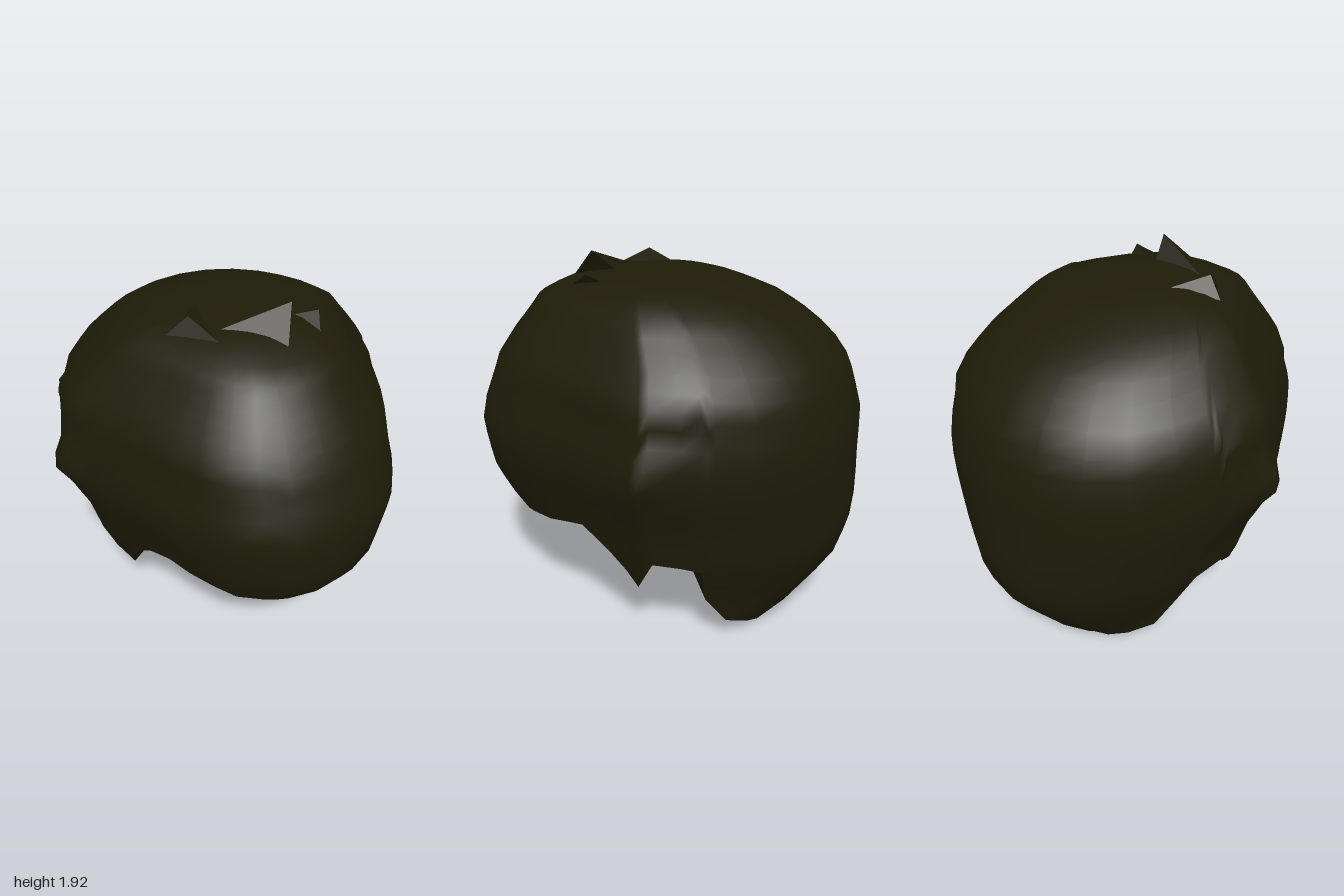
import * as THREE from 'three';
import { mergeVertices } from 'three/addons/utils/BufferGeometryUtils.js';

// Horizontal sections: y, half width, front z, back z, z of the widest point
const SECTIONS = [
  [0, 0.4, -0.1, -0.6, -0.42], [0.14, 0.54, 0.2, -0.75, -0.25],
  [0.3, 0.61, 0.45, -0.87, -0.08], [0.36, 0.64, 0.55, -0.93, -0.05],
  [0.53, 0.72, 0.76, -0.98, -0.08], [0.61, 0.74, 0.86, -1, -0.08],
  [0.78, 0.785, 0.965, -1, -0.08], [0.9, 0.84, 0.98, -0.995, -0.08],
  [1.0, 0.875, 0.99, -0.99, -0.08], [1.1, 0.88, 1, -0.99, -0.08],
  [1.2, 0.87, 0.96, -0.985, -0.09], [1.3, 0.84, 0.92, -0.955, -0.1],
  [1.39, 0.855, 0.885, -0.93, -0.1], [1.53, 0.74, 0.79, -0.83, -0.08],
  [1.64, 0.635, 0.7, -0.69, -0.03], [1.71, 0.57, 0.65, -0.57, 0],
  [1.78, 0.45, 0.49, -0.38, 0.04], [1.82, 0.29, 0.36, -0.25, 0.05],
  [1.84, 0, 0.05, 0.05, 0.05],
];

// Lower edge: degrees from the front, height
const HEM = [
  [0, 0.54], [12, 0.56], [22, 0.6], [32, 0.58], [42, 0.61], [52, 0.62], [60, 0.65],
  [68, 0.68], [75, 0.57], [80, 0.46], [84, 0.355], [88, 0.47], [91, 0.58], [100, 0.56],
  [106, 0.53], [108, 0.3], [110, 0.14], [122, 0.075], [136, 0.02], [150, 0.015],
  [165, 0.01], [180, 0],
];
const ROWS = 20;

function section(y) {
  let i = 0;
  while (i < SECTIONS.length - 2 && SECTIONS[i + 1][0] < y) i++;
  const a = SECTIONS[i], b = SECTIONS[i + 1];
  const t = (y - a[0]) / (b[0] - a[0]);
  return a.map((v, k) => v + (b[k] - v) * t);
}

function surfacePoint(degrees, y) {
  const a = THREE.MathUtils.degToRad(degrees);
  const [, w, front, back, mid] = section(y);
  const s = Math.sin(a), c = Math.cos(a);
  const depth = c > 0 ? front - mid : mid - back;
  // The sides run nearly straight towards a narrower front
  const taper = 1 - (c > 0 ? 0.4 : 0.12) * Math.abs(c) * s * s;
  // Pointed tuft swept out over each ear
  const turn = Math.abs(Math.abs(degrees - 180) - 89) / 9;
  const tuft = 0.07 * Math.max(0, 1 - turn) * Math.max(0, 1 - Math.abs(y - 1.1) / 0.14);
  return [s * w * taper + Math.sign(s) * tuft, y, mid + depth * c];
}

// Closed loop of columns, each a list of points, joined into one smooth skin
function loft(columns) {
  const rows = columns[0].length, index = [];
  columns.forEach((_, i) => {
    const n = (i + 1) % columns.length;
    for (let j = 0; j < rows - 1; j++) {
      const a = i * rows + j, b = n * rows + j;
      if (j < rows - 2) index.push(a, b, b + 1, a, b + 1, a + 1);
      else index.push(a, b, a + 1); // last row meets in a point
    }
  });
  let g = new THREE.BufferGeometry();
  g.setAttribute('position', new THREE.Float32BufferAttribute(columns.flat(2), 3));
  g.setIndex(index);
  g = mergeVertices(g, 1e-4);
  g.computeVertexNormals();
  return g;
}

export function createModel() {
  const group = new THREE.Group();
  const hair = new THREE.MeshStandardMaterial({ color: 0x1e1c08, side: THREE.DoubleSide });
  hair.name = 'darkOliveHair';
  const add = (name, geometry) => {
    const mesh = new THREE.Mesh(geometry, hair);
    mesh.name = name;
    group.add(mesh);
  };

  // Left half of the hem, then the mirrored right half with a higher fringe
  const hem = [
    ...HEM,
    ...HEM.slice(1, -1).reverse().map(([d, y]) => [360 - d, y + (d > 18 && d < 66 ? 0.07 : 0)]),
  ];

  // Outer hair from hem to crown
  add('hairShell', loft(hem.map(([d, y0]) => {
    const column = [];
    for (let j = 0; j <= ROWS; j++) {
      const y = y0 + (1.84 - y0) * Math.sin((j / ROWS) * Math.PI / 2);
      column.push(surfacePoint(d, Math.min(y, 1.84)));
    }
    return column;
  })));

  // Underside: sloped behind the neck, vaulted under the fringe
  add('hairLining', loft(hem.map(([d, y0]) => {
    const [x, y, z] = surfacePoint(d, y0);
    const rear = d >= 84 && d <= 276;
    const inner = rear ? [x * 0.4, 0.6, -0.06] : [x * 0.6, 0.75, z * 0.6];
    return [[x, y, z], inner, [0, 0.8, 0.1]];
  }).reverse()));

  // Loose pointed locks: three root points and a tip
  function lock(name, a, b, c, tip) {
    const [A, B, C, T] = [a, b, c, tip].map((p) => new THREE.Vector3(...p));
    const normal = B.clone().sub(A).cross(C.clone().sub(A));
    const up = normal.dot(T.clone().sub(A)) > 0;
    const faces = up ? [A, B, T, B, C, T, C, A, T] : [B, A, T, C, B, T, A, C, T];
    const g = new THREE.BufferGeometry().setFromPoints(faces);
    g.computeVertexNormals();
    add(name, g);
  }
  lock('crownLock', [-0.2, 1.81, 0.26], [0.0, 1.74, 0.52], [0.06, 1.8, 0.22], [0.11, 1.92, 0.36]);
  lock('crownLockLeft', [0.12, 1.8, 0.26], [0.19, 1.72, 0.5], [0.24, 1.79, 0.24], [0.27, 1.835, 0.34]);
  lock('crownLockRight', [-0.4, 1.78, 0.14], [-0.22, 1.78, 0.36], [-0.18, 1.82, 0.0], [-0.31, 1.87, 0.18]);
  return group;
}
